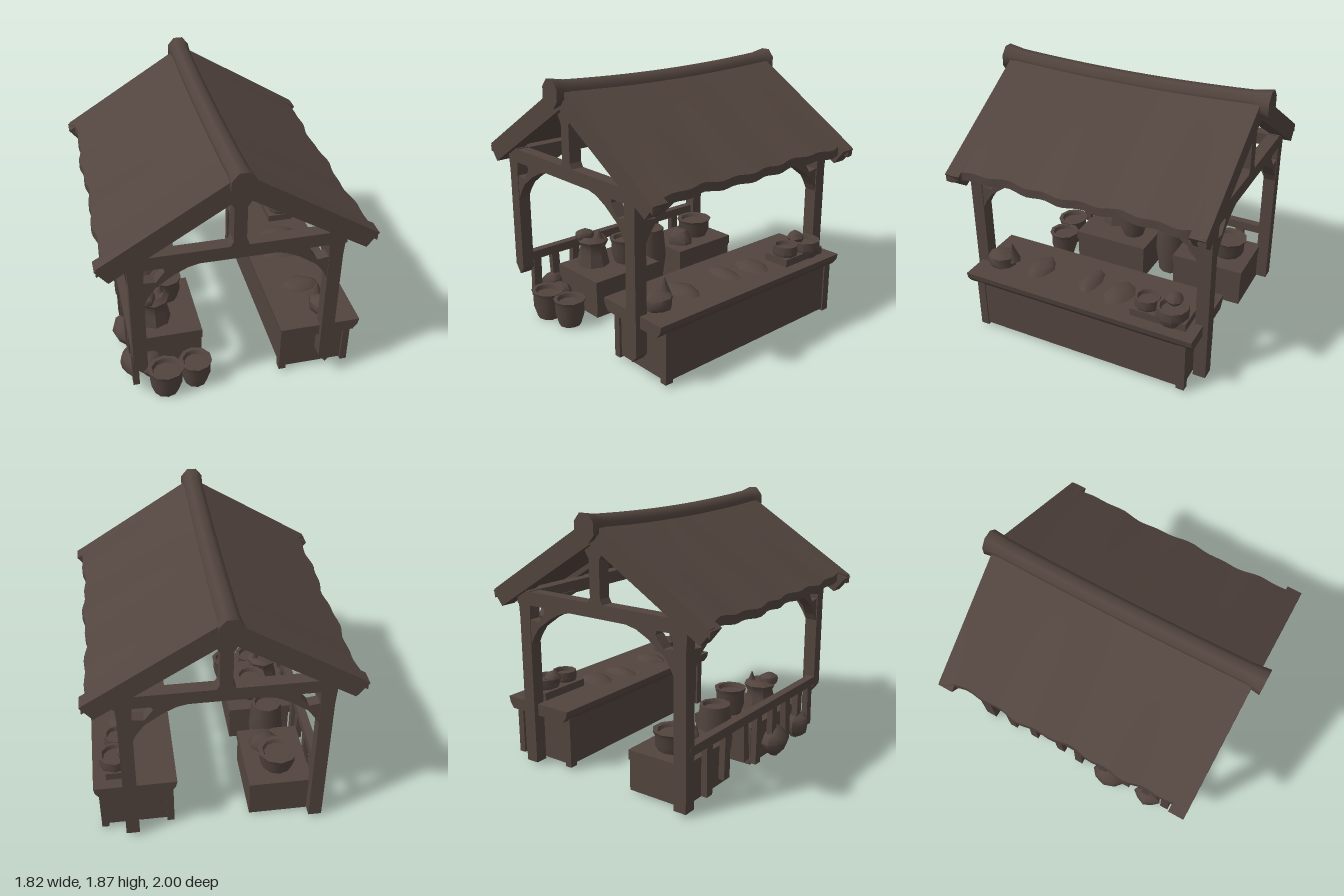
import * as THREE from 'three';
import { toCreasedNormals } from 'three/addons/utils/BufferGeometryUtils.js';

export function createModel() {
  const root = new THREE.Group();
  const wood = new THREE.MeshStandardMaterial({ color: 0x52443e });
  wood.name = 'dark brown wood';

  const add = (name, geo, x = 0, y = 0, z = 0, ry = 0) => {
    const m = new THREE.Mesh(geo, wood);
    m.name = name;
    m.position.set(x, y, z);
    m.rotation.y = ry;
    root.add(m);
    return m;
  };
  // box given by its limits on each axis
  const block = (name, x0, x1, y0, y1, z0, z1) =>
    add(name, new THREE.BoxGeometry(x1 - x0, y1 - y0, z1 - z0), (x0 + x1) / 2, (y0 + y1) / 2, (z0 + z1) / 2);
  // flat outline extruded and centred on its thickness
  const plate = (pts, depth) => {
    const g = new THREE.ExtrudeGeometry(new THREE.Shape(pts.map(p => new THREE.Vector2(...p))),
      { depth, bevelEnabled: false });
    return g.translate(0, 0, -depth / 2);
  };
  const turned = (pts, sides = 10) => toCreasedNormals(
    new THREE.LatheGeometry(pts.map(p => new THREE.Vector2(...p)), sides), 0.7);
  // lumpy low-poly ball for sacks and produce
  const lump = (name, x, y, z, rx, ry, rz, seed) => {
    const g = new THREE.SphereGeometry(1, 9, 6);
    const p = g.attributes.position, v = new THREE.Vector3();
    for (let i = 0; i < p.count; i++) {
      v.fromBufferAttribute(p, i);
      const k = 1 + 0.1 * Math.sin(5 * v.x + seed) * Math.cos(4 * v.z - seed) + 0.05 * Math.sin(6 * v.y + seed);
      p.setXYZ(i, v.x * k * rx, v.y * k * ry, v.z * k * rz);
    }
    return add(name, toCreasedNormals(g, 0.9), x, y, z);
  };

  // Roof sheets: sagging, rippled, with ragged eaves
  const sag = z => 0.035 * (z * z - 0.9);
  for (const s of [1, -1]) {
    const g = new THREE.BoxGeometry(1, 1, 1, 10, 1, 40);
    const p = g.attributes.position;
    for (let i = 0; i < p.count; i++) {
      const u = p.getX(i) + 0.5, z = p.getZ(i) * 1.88;
      const worn = Math.abs(z) > 0.85 ? 0.9
        : 0.862 + 0.01 * Math.sin(9 * z + s) + 0.008 * Math.sin(23 * z);
      const x = u * worn;
      const ripple = 0.007 * u * Math.sin(11 * z + s);
      p.setXYZ(i, x, 1.84 - 0.62 * x + sag(z) * (1 - 0.5 * u) + ripple + (p.getY(i) - 0.5) * 0.06, z);
    }
    add('roofSheet', toCreasedNormals(g, 0.6), 0, 0, 0, s > 0 ? 0 : Math.PI);
  }

  // Ridge beam, dipping in the middle, with heavier ends
  const ridge = new THREE.CylinderGeometry(0.085, 0.085, 2, 8, 16).rotateX(Math.PI / 2).rotateZ(Math.PI / 8);
  const rp = ridge.attributes.position;
  for (let i = 0; i < rp.count; i++) {
    const z = rp.getZ(i), heavy = Math.abs(z) > 0.9;
    rp.setXYZ(i, rp.getX(i) * (heavy ? 1 : 0.85) - 0.01,
      rp.getY(i) * (heavy ? 1.2 : 0.85) + (heavy ? 1.785 : 1.8) + sag(z), z);
  }
  add('ridgeBeam', toCreasedNormals(ridge, 0.9));

  // Rafters
  const rafter = [[0, 1.68], [0.83, 1.17], [0.91, 1.27], [0, 1.82]];
  for (const turn of [0, Math.PI]) {
    for (const z of [0.885, -0.885]) add('gableRafter', plate(rafter, 0.11), 0, 0, z, turn);
    for (const z of [0.3, -0.3])
      add('innerRafter', plate([[0, 1.72], [0.8, 1.22], [0.82, 1.3], [0, 1.8]], 0.07), 0, 0, z, turn);
  }

  // Tie beams, king posts, corner posts and curved braces
  const brace = [[-0.02, 0.89], [0, 0.92], [0.03, 0.98], [0.08, 1.05], [0.2, 1.135], [0.29, 1.18], [0.38, 1.2],
    [0.38, 1.22], [0.12, 1.22], [0.14, 1.17], [0.08, 1.09], [0.01, 1.1], [-0.02, 1.1]];
  for (const sz of [1, -1]) {
    const z = sz * 0.86;
    block('tieBeam', -0.71, 0.71, 1.2, 1.295, z - 0.045, z + 0.045);
    add('kingPost', plate([[-0.07, 1.28], [0.07, 1.28], [0.042, 1.33], [0.042, 1.58], [0.08, 1.64],
      [0.05, 1.74], [-0.05, 1.74], [-0.08, 1.64], [-0.042, 1.58], [-0.042, 1.33]], 0.09), 0, 0, z);
    for (const sx of [1, -1]) {
      const x = sx > 0 ? 0.645 : -0.662;
      add('crossBrace', plate(brace, 0.08), x - sx * 0.045, 0, z, sx > 0 ? Math.PI : 0);
      add('sideBrace', plate(brace, 0.08), x, 0, sz * 0.82, sz > 0 ? Math.PI / 2 : -Math.PI / 2);
      // the front posts are broken off at the bottom
      const low = sz < 0 ? 0.04 : sx > 0 ? 0.22 : 0.4;
      const tip = sz < 0 ? 0.04 : low - 0.07;
      add('post', plate([[-0.047, low], [0.005, tip], [0.047, sz < 0 ? 0.04 : low - 0.02], [0.047, 1.1],
        [0.06, 1.3], [-0.06, 1.3], [-0.047, 1.1]], 0.09), x, 0, z);
    }
  }
  for (const sx of [1, -1]) block('eavePlate', sx * 0.66 - 0.045, sx * 0.66 + 0.045, 1.2, 1.29, -0.88, 0.88);

  // Counter: four boards open below, flared top and corner boards
  block('counterSide', 0.36, 0.395, 0.05, 0.43, -0.8, 0.79);
  block('counterSide', 0.815, 0.85, 0.05, 0.43, -0.8, 0.79);
  for (const z of [0.77, -0.785]) block('counterEnd', 0.38, 0.83, 0.05, 0.43, z - 0.018, z + 0.018);
  add('counterTop', plate([[0.36, 0.39], [0.85, 0.39], [0.88, 0.43], [0.89, 0.475], [0.32, 0.475],
    [0.33, 0.43]], 1.74));
  for (const z of [0.775, -0.79]) for (const x of [0.37, 0.835])
    block('counterCorner', x - 0.025, x + 0.025, 0.035, 0.42, z - 0.03, z + 0.03);

  // Goods on the counter
  const bowl = [[0, 0], [0.09, 0], [0.115, 0.06], [0.11, 0.12], [0.09, 0.12], [0.08, 0.09], [0, 0.09]];
  block('tray', 0.6, 0.8, 0.47, 0.53, -0.79, -0.39);
  add('basket', turned(bowl), 0.73, 0.48, -0.67);
  add('smallBasket', turned(bowl).scale(0.8, 0.95, 0.8), 0.71, 0.49, -0.48);
  lump('produce', 0.66, 0.6, -0.65, 0.06, 0.05, 0.06, 1);
  lump('counterSack', 0.67, 0.52, 0.71, 0.1, 0.07, 0.11, 5);
  add('sackPeak', new THREE.ConeGeometry(0.06, 0.14, 6), 0.65, 0.59, 0.63);
  [[0.6, 0.42, 0.09], [0.58, 0.02, 0.07], [0.62, -0.22, 0.1]].forEach(([x, z, r], i) =>
    lump('loaf', x, 0.475, z, 0.14, 0.035, r, i));

  // Railing along the other side
  block('rail', -0.71, -0.65, 0.41, 0.475, -0.86, 0.86);
  [-0.64, -0.43, -0.19, -0.02, 0.2, 0.4, 0.58, 0.75].forEach((z, i) => {
    const m = block('picket', -0.71, -0.665, 0.06 + 0.04 * (i % 3), 0.43, z - 0.032, z + 0.032);
    m.rotation.x = 0.05 * Math.sin(i * 2.3);
  });

  // Crates
  const crate = (x0, x1, z0, z1, top) => {
    block('crate', x0 + 0.006, x1 - 0.006, 0.03, top - 0.02, z0 + 0.006, z1 - 0.006);
    block('crateRim', x0, x1, top - 0.07, top, z0, z1);
  };
  crate(-0.65, -0.17, -0.03, 0.57, 0.315);
  crate(-0.64, -0.19, -0.83, -0.27, 0.32);

  // Sacks, tubs and pots
  const tub = [[0, 0], [0.08, 0], [0.105, 0.08], [0.105, 0.16], [0.118, 0.2], [0.09, 0.2], [0.08, 0.17], [0, 0.17]];
  const sack = [[0, 0], [0.13, 0], [0.11, 0.1], [0.095, 0.16], [0.12, 0.21], [0.08, 0.24], [0, 0.22]];
  add('sack', turned(sack, 8), -0.49, 0.3, 0.36);
  add('sackPeak', new THREE.ConeGeometry(0.05, 0.12, 5), -0.43, 0.54, 0.34);
  add('crateTub', turned(tub), -0.36, 0.31, 0.15);
  lump('sackTop', -0.54, 0.54, 0.4, 0.07, 0.045, 0.08, 4);
  add('frontTub', turned(tub).scale(1.1, 1.05, 1), -0.48, 0.015, 0.79);
  add('frontTub', turned(tub), -0.26, 0.02, 0.75);
  lump('frontBundle', -0.56, 0.11, 0.62, 0.1, 0.09, 0.1, 2);
  add('barrel', turned([[0, 0], [0.1, 0], [0.13, 0.22], [0.11, 0.46], [0.09, 0.46], [0.08, 0.43], [0, 0.43]]),
    -0.43, 0.03, -0.16);
  add('backTub', turned(tub).scale(1.2, 0.8, 1.2), -0.42, 0.3, -0.64);
  lump('backProduce', -0.36, 0.33, -0.43, 0.11, 0.1, 0.1, 3);
  lump('sideSack', -0.69, 0.14, 0.25, 0.09, 0.11, 0.13, 7);
  lump('sideSack', -0.69, 0.15, 0.6, 0.08, 0.1, 0.11, 6);

  return root;
}
